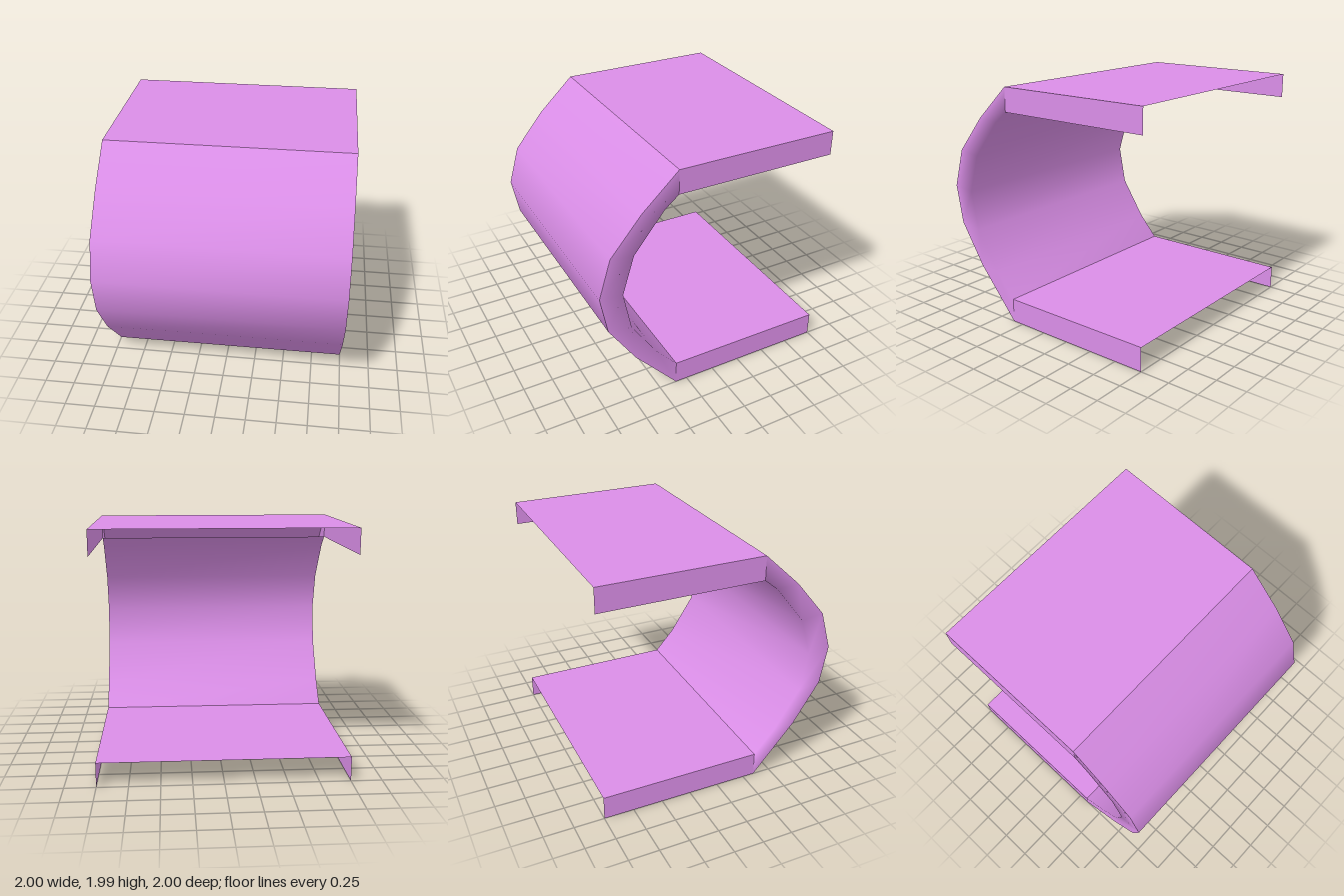
import * as THREE from 'three';

const material = new THREE.MeshStandardMaterial({ color: 0xda8ee7, side: THREE.DoubleSide });

// Side profiles of the curved wall as [z, y], from top to bottom
const OUTER = [[0.35, 1.99], [0.65, 1.71], [0.905, 1.405], [1, 1.08], [0.94, 0.76], [0.715, 0.415], [0.35, 0]];
const INNER = [[0.35, 1.79], [0.465, 1.695], [0.715, 1.38], [0.81, 1.06], [0.745, 0.73], [0.525, 0.395], [0.35, 0.2]];

// Skin a list of equal-length rows of [x, y, z] points
function skin(name, rows, flat = false) {
  const n = rows[0].length;
  const index = [];
  for (let r = 0; r < rows.length - 1; r++) {
    for (let i = 0; i < n - 1; i++) {
      const a = r * n + i, b = a + 1, c = a + n, d = c + 1;
      index.push(a, c, b, b, c, d);
    }
  }
  let geometry = new THREE.BufferGeometry();
  geometry.setAttribute('position', new THREE.Float32BufferAttribute(rows.flat(2), 3));
  geometry.setIndex(index);
  if (flat) geometry = geometry.toNonIndexed();
  geometry.computeVertexNormals();
  const mesh = new THREE.Mesh(geometry, material);
  mesh.name = name;
  return mesh;
}

// Open channel: a flat sheet with a flange hanging from each side
function shelf(name, y) {
  const section = [[-1, y - 0.2], [-1, y], [1, y], [1, y - 0.2]];
  return skin(name, [-1, 0.35].map(z => section.map(([x, h]) => [x, h, z])), true);
}

export function createModel() {
  const group = new THREE.Group();
  group.name = 'curvedShell';

  group.add(shelf('topShelf', 1.99), shelf('bottomShelf', 0.2));

  // Smooth outside of the curved wall
  group.add(skin('outerWall', OUTER.map(([z, y]) => [[-1, y, z], [1, y, z]])));

  // Inside of the wall, shaded smoothly into its two side edges
  group.add(skin('innerWall', OUTER.map(([zo, yo], i) => {
    const [zi, yi] = INNER[i];
    return [[1, yo, zo], [1, yi, zi], [-1, yi, zi], [-1, yo, zo]];
  })));

  return group;
}
